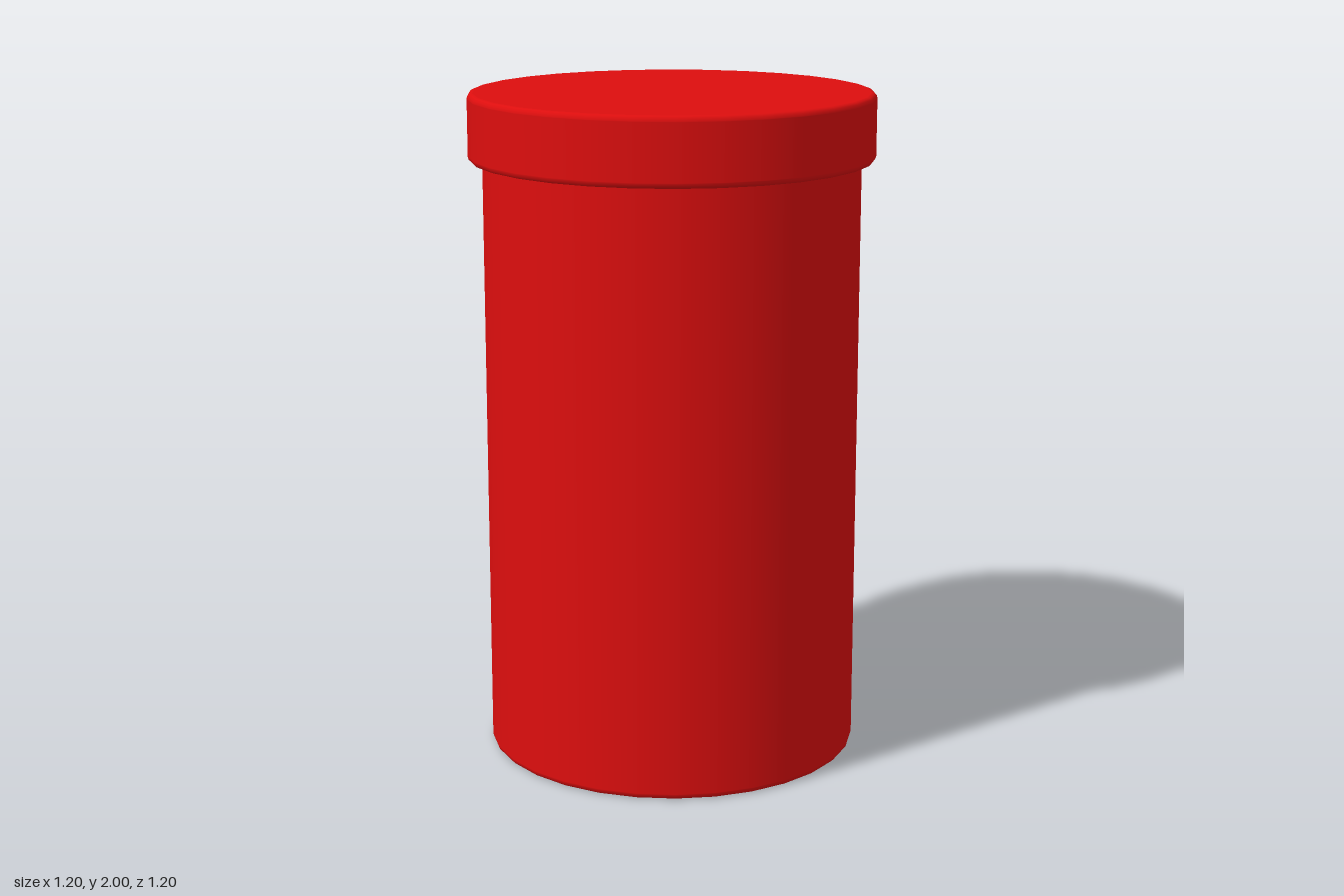
import * as THREE from 'three';

const SIDES = 30;

// Closed drum with softly rounded rims, turned from a bottom-to-top profile
function roundedDrum(name, radius, y0, y1, bevel, material) {
  const eps = 0.002; // support rings keep the flat faces flat-shaded
  const steps = 3;
  const pts = [new THREE.Vector2(0, y0), new THREE.Vector2(radius - bevel - eps, y0)];
  for (const [cy, start] of [[y0 + bevel, -Math.PI / 2], [y1 - bevel, 0]]) {
    if (start === 0) pts.push(new THREE.Vector2(radius, cy - eps));
    for (let i = 0; i <= steps; i++) {
      const a = start + (i / steps) * Math.PI / 2;
      pts.push(new THREE.Vector2(radius - bevel + bevel * Math.cos(a), cy + bevel * Math.sin(a)));
    }
    if (start < 0) pts.push(new THREE.Vector2(radius, cy + eps));
  }
  pts.push(new THREE.Vector2(radius - bevel - eps, y1), new THREE.Vector2(0, y1));
  // starting at a quarter turn puts corners on the x axis
  const mesh = new THREE.Mesh(new THREE.LatheGeometry(pts, SIDES, Math.PI / 2), material);
  mesh.name = name;
  return mesh;
}

export function createModel() {
  const group = new THREE.Group();
  group.name = 'canister';
  const red = new THREE.MeshStandardMaterial({ color: 0xdd0e0e });

  // Tall body, its top tucked just inside the lid
  group.add(roundedDrum('body', 0.56, 0, 1.83, 0.015, red));
  // Wider lid
  group.add(roundedDrum('lid', 0.602, 1.8, 2, 0.015, red));
  return group;
}
